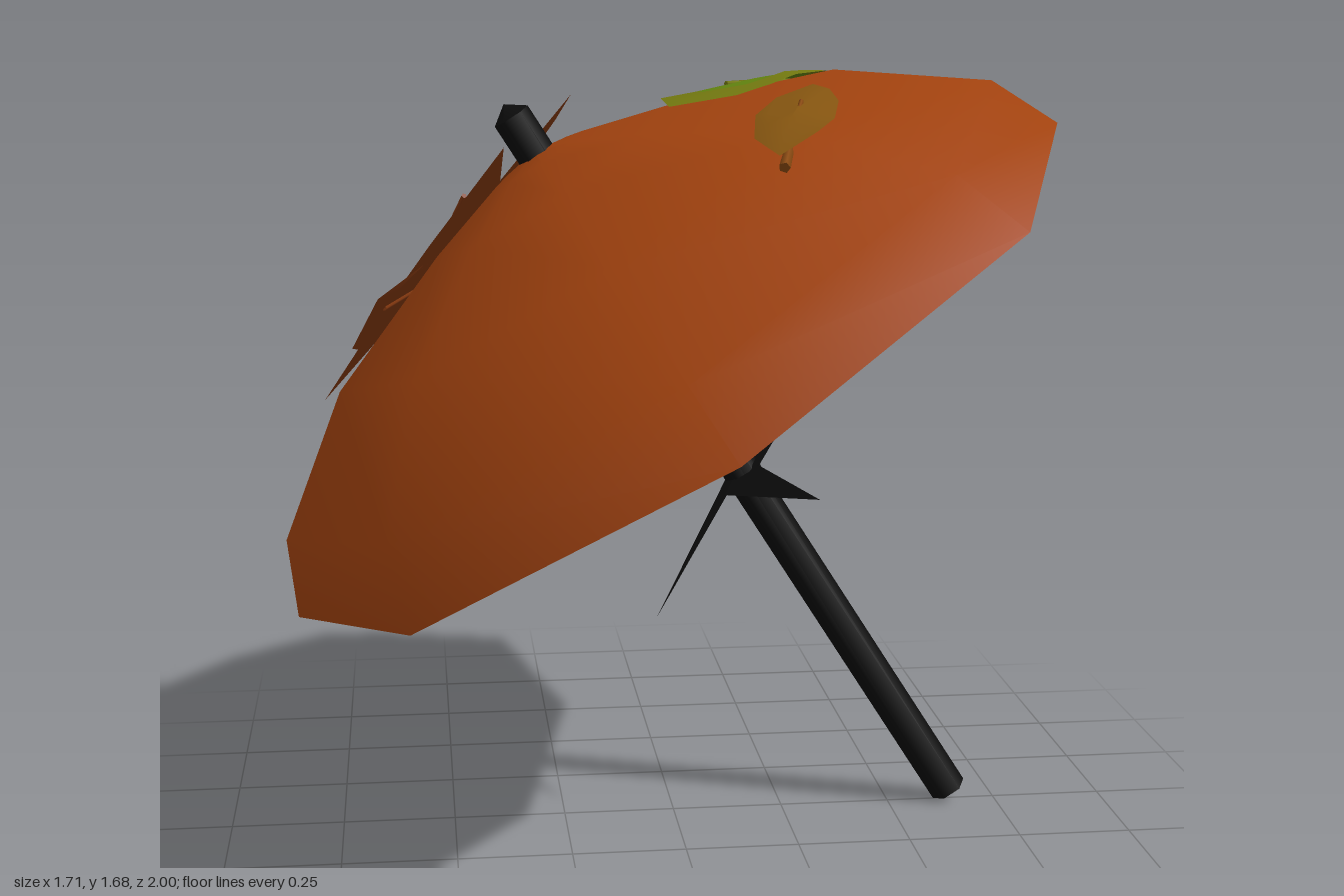
import * as THREE from 'three';

const TILT = THREE.MathUtils.degToRad(32.5);
const CENTER = new THREE.Vector3(0.0075, 1.0225, 0);

// canopy profile: radius, height above the rim plane
const PROFILE = [[1, 0], [0.923, 0.16], [0.64, 0.37], [0.3, 0.5], [0.11, 0.556], [0.001, 0.575]];

function mat(name, color, side = THREE.DoubleSide) {
  const m = new THREE.MeshStandardMaterial({ color, side });
  m.name = name;
  return m;
}

function mesh(name, geometry, material, parent) {
  const m = new THREE.Mesh(geometry, material);
  m.name = name;
  parent.add(m);
  return m;
}

// height of the eight-sided canopy at local u, w
function canopyHeight(u, w) {
  const step = Math.PI / 4;
  const a = ((Math.atan2(w, u) % step) + step) % step;
  const r = Math.hypot(u, w) * Math.cos(a - step / 2) / Math.cos(step / 2);
  for (let i = 0; i < PROFILE.length - 1; i++) {
    const [r0, h0] = PROFILE[i], [r1, h1] = PROFILE[i + 1];
    if (r >= r1) return h0 + (h1 - h0) * (r0 - r) / (r0 - r1);
  }
  return 0.575;
}

// point lying just above the canopy at plan position x, z
function drape(x, z, lift) {
  const c = Math.cos(TILT), s = Math.sin(TILT);
  let u = x, n = 0.4;
  for (let i = 0; i < 25; i++) {
    n = canopyHeight(u, z);
    u = (x - CENTER.x + s * n) / c;
  }
  n += lift;
  return new THREE.Vector3(CENTER.x + u * c - n * s, CENTER.y + u * s + n * c, z);
}

// surface made of rings shrunk from an outline towards its middle
function rings(outline, center, scales, place) {
  const pos = [], index = [], k = outline.length;
  for (const s of scales) {
    for (const [x, z] of outline) {
      const p = place(center[0] + (x - center[0]) * s, center[1] + (z - center[1]) * s);
      pos.push(p.x, p.y, p.z);
    }
  }
  for (let j = 0; j < scales.length - 1; j++) {
    for (let i = 0; i < k; i++) {
      const a = j * k + i, b = j * k + (i + 1) % k;
      index.push(a, b, a + k, b, b + k, a + k);
    }
  }
  const g = new THREE.BufferGeometry();
  g.setAttribute('position', new THREE.Float32BufferAttribute(pos, 3));
  g.setIndex(index);
  g.computeVertexNormals();
  // outlines run either way round; make the upper side the front
  if (g.attributes.normal.getY(0) < 0) {
    g.setIndex(index.reverse());
    g.computeVertexNormals();
  }
  return g;
}

// tapered rod between two points
function rod(a, b, ra, rb) {
  const dir = b.clone().sub(a);
  const g = new THREE.CylinderGeometry(rb, ra, dir.length(), 5);
  g.applyQuaternion(new THREE.Quaternion().setFromUnitVectors(new THREE.Vector3(0, 1, 0), dir.clone().normalize()));
  const mid = a.clone().add(b).multiplyScalar(0.5);
  return g.translate(mid.x, mid.y, mid.z);
}

export function createModel() {
  const root = new THREE.Group();
  root.name = 'leafUmbrella';

  const orange = mat('burnt orange', 0xa3430f);
  const brown = mat('leaf brown', 0x84380f);
  const green = mat('leaf green', 0x648610);
  const olive = mat('leaf olive', 0x747a10);
  const ochre = mat('leaf ochre', 0x855510);
  const stemBrown = mat('stem brown', 0x8a4a10);
  const black = mat('black', 0x0b0b0b);

  // tilted canopy and pole
  const umbrella = new THREE.Group();
  umbrella.name = 'umbrella';
  umbrella.position.copy(CENTER);
  umbrella.rotation.z = TILT;
  root.add(umbrella);

  mesh('canopy', new THREE.LatheGeometry(PROFILE.map(p => new THREE.Vector2(...p)), 8), orange, umbrella);

  const pole = mesh('pole', new THREE.CylinderGeometry(0.042, 0.042, 1.85, 6), black, umbrella);
  pole.rotation.y = Math.PI / 2;
  pole.position.y = -1.185 + 0.925;
  const tip = mesh('poleTip', new THREE.ConeGeometry(0.042, 0.03, 6), black, umbrella);
  tip.rotation.y = Math.PI / 2;
  tip.position.y = 0.68;

  // thin four-pointed spur round the pole
  const spur = [
    [0.15, 0.80, 0],
    [-0.07, 0.545, 0.30], [0.11, 0.755, 0.075],
    [0.28, 0.79, 0.29], [0.185, 0.815, 0.05],
    [0.32, 0.93, -0.19], [0.20, 0.88, -0.21],
    [0.055, 0.75, -0.28], [0.16, 0.85, -0.17], [0.125, 0.78, -0.02],
  ];
  const spurGeo = new THREE.BufferGeometry();
  spurGeo.setAttribute('position', new THREE.Float32BufferAttribute(spur.flat(), 3));
  const fan = [];
  for (let i = 1; i < spur.length; i++) fan.push(0, i, i % (spur.length - 1) + 1);
  spurGeo.setIndex(fan);
  spurGeo.computeVertexNormals();
  mesh('poleSpur', spurGeo, black, root);

  // green leaf: olive margin round a bright middle
  const greenOutline = [[-0.01, 0.1], [-0.015, -0.02], [0.05, -0.16], [0.12, -0.25], [0.22, -0.285], [0.36, -0.27],
    [0.385, -0.17], [0.36, -0.09], [0.27, 0.05], [0.21, 0.09], [0.13, 0.125]];
  const onCanopy = (x, z) => drape(x, z, 0.02);
  mesh('greenLeafMargin', rings(greenOutline, [0.22, -0.1], [1, 0.8, 0.65], onCanopy), olive, root);
  mesh('greenLeafMiddle', rings(greenOutline, [0.22, -0.1], [0.65, 0.35, 0.01], onCanopy), green, root);
  mesh('greenLeafStem', rod(drape(0.13, -0.03, 0.022), drape(0.39, -0.28, 0.04), 0.006, 0.014), olive, root);

  // small ochre leaf
  const ochreOutline = [[0.285, 0.17], [0.315, 0.2], [0.32, 0.28], [0.29, 0.4], [0.24, 0.49],
    [0.16, 0.52], [0.12, 0.45], [0.14, 0.33], [0.2, 0.22]];
  mesh('ochreLeaf', rings(ochreOutline, [0.22, 0.35], [1, 0.7, 0.35, 0.01], onCanopy), ochre, root);
  mesh('ochreLeafStem', rod(drape(0.24, 0.3, 0.022), drape(0.165, 0.55, 0.02), 0.005, 0.012), stemBrown, root);

  // large pointed leaf, flat and resting against the steep side
  const bigOutline = [[-0.35, -0.57], [-0.39, -0.4], [-0.24, -0.24], [-0.21, -0.16], [-0.37, -0.14], [-0.375, 0.2],
    [-0.53, 0.14], [-0.6, 0.08], [-0.64, 0.26], [-0.7, 0.06], [-0.69, -0.04], [-0.77, -0.16],
    [-0.6, -0.26], [-0.57, -0.22], [-0.48, -0.39]];
  const leafPlane = (x, z) => new THREE.Vector3(x, 1.62 + 1.21 * (x + 0.21) + 0.31 * (z + 0.16), z);
  mesh('pointedLeaf', rings(bigOutline, [-0.5, -0.12], [1, 0.01], leafPlane), brown, root);
  mesh('pointedLeafStem', rod(new THREE.Vector3(-0.455, 1.42, 0.06), new THREE.Vector3(-0.6, 1.04, -0.465), 0.006, 0.013), brown, root);
  mesh('pointedLeafVein', rod(leafPlane(-0.63, 0.07), leafPlane(-0.53, -0.3), 0.006, 0.006), brown, root);

  return root;
}
